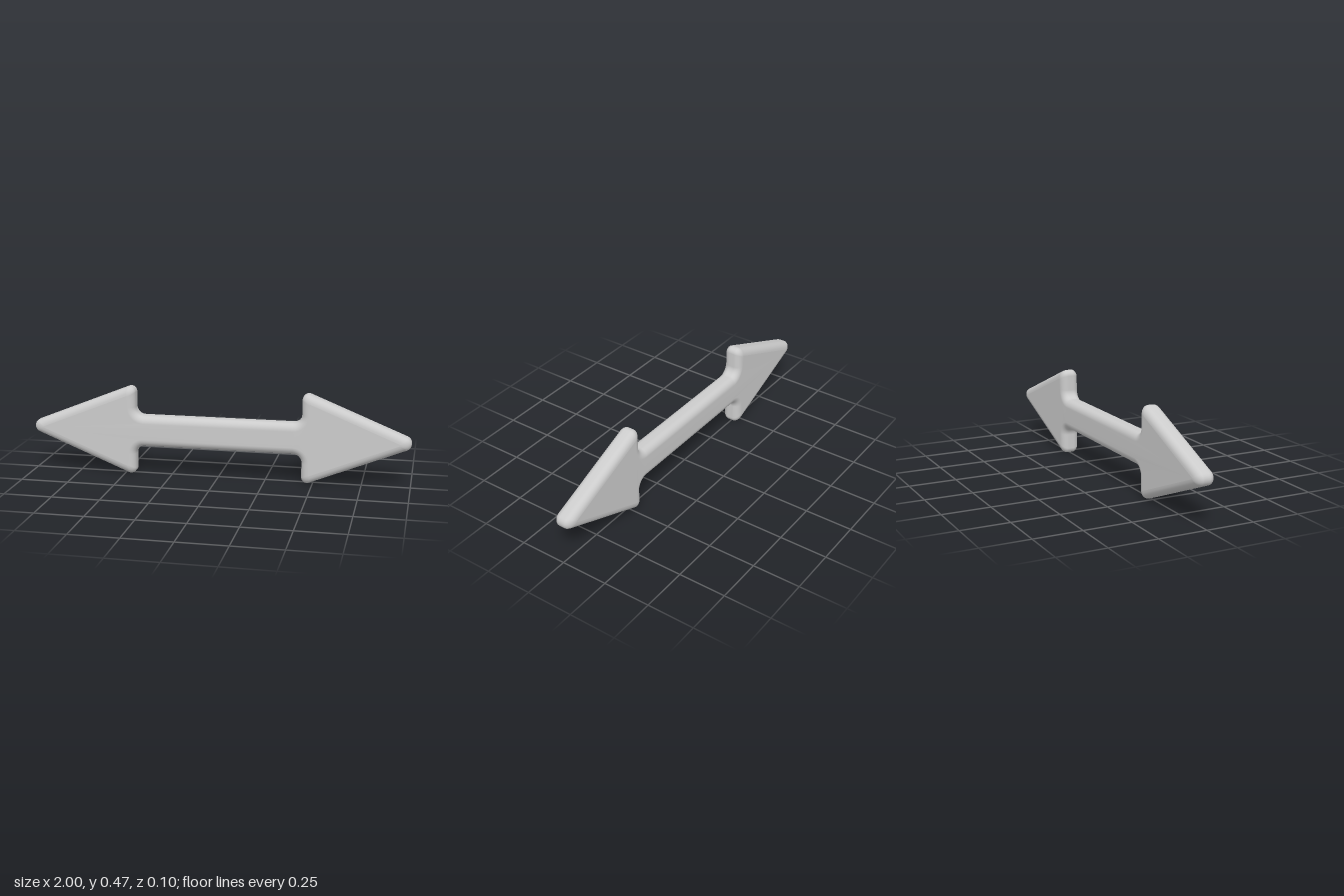
import * as THREE from 'three';

const BEVEL = 0.04, HALF_DEPTH = 0.05, HALF_WALL = 0.014, ARC = 8, ROUND = 6;

// Shift every edge of a counter-clockwise polygon inward by d
function inset(points, d) {
  return points.map((p, i) => {
    const a = p.clone().sub(points.at(i - 1)).normalize();
    const b = points[(i + 1) % points.length].clone().sub(p).normalize();
    const na = new THREE.Vector2(-a.y, a.x), nb = new THREE.Vector2(-b.y, b.x);
    const k = d / (1 + na.dot(nb));
    return p.clone().add(na.add(nb).multiplyScalar(k));
  });
}

// Replace each corner with an arc of the given radius
function fillet(points, radii) {
  return points.flatMap((p, i) => {
    const a = points.at(i - 1).clone().sub(p).normalize();
    const b = points[(i + 1) % points.length].clone().sub(p).normalize();
    const half = Math.acos(a.dot(b)) / 2, r = radii[i];
    const centre = a.clone().add(b).normalize().multiplyScalar(r / Math.sin(half)).add(p);
    const from = a.multiplyScalar(r / Math.tan(half)).add(p).sub(centre);
    const turn = Math.sign(from.cross(p.clone().sub(centre))) * (Math.PI - 2 * half);
    return Array.from({ length: ARC + 1 }, (_, j) =>
      from.clone().rotateAround(new THREE.Vector2(), turn * j / ARC).add(centre));
  });
}

// Solid with a rounded rim, skinned from the back face to the front face
function roundedPlate(outer, inner) {
  const n = outer.length, positions = [], index = [], profile = [];
  for (let j = 0; j <= ROUND; j++) {
    const t = j / ROUND * Math.PI / 2;
    profile.push([Math.sin(t), HALF_WALL + (HALF_DEPTH - HALF_WALL) * Math.cos(t)]);
  }
  const rings = [
    ...profile.map(([k, z]) => [k, -z]),
    ...profile.slice().reverse(),
  ];
  for (const [k, z] of rings) {
    for (let i = 0; i < n; i++) {
      const p = inner[i].clone().lerp(outer[i], k);
      positions.push(p.x, p.y, z);
    }
  }
  for (let r = 0; r < rings.length - 1; r++) {
    for (let i = 0; i < n; i++) {
      const a = r * n + i, b = r * n + (i + 1) % n;
      index.push(a, b, b + n, a, b + n, a + n);
    }
  }
  // Flat faces
  const last = (rings.length - 1) * n;
  for (const [a, b, c] of THREE.ShapeUtils.triangulateShape(inner, [])) {
    index.push(a, c, b, last + a, last + b, last + c);
  }
  const geometry = new THREE.BufferGeometry();
  geometry.setAttribute('position', new THREE.Float32BufferAttribute(positions, 3));
  geometry.setIndex(index);
  geometry.computeVertexNormals();
  return geometry;
}

export function createModel() {
  const group = new THREE.Group();
  group.name = 'doubleArrow';

  // Upper right quarter: tip, barb, notch (x, y, corner radius, concave)
  const tip = [1.057, 0, 0.035], barb = [0.44, 0.25, 0.03], notch = [0.44, 0.0825, 0.045, true];
  const flip = ([x, y, r, c], sx, sy) => [x * sx, y * sy, r, c];
  const corners = [
    tip, barb, notch,
    flip(notch, -1, 1), flip(barb, -1, 1), flip(tip, -1, 1),
    flip(barb, -1, -1), flip(notch, -1, -1),
    flip(notch, 1, -1), flip(barb, 1, -1),
  ];
  const outline = corners.map(([x, y]) => new THREE.Vector2(x, y));
  const outer = fillet(outline, corners.map(c => c[2]));
  const inner = fillet(inset(outline, BEVEL),
    corners.map(c => c[3] ? c[2] + BEVEL : 0.004));

  const arrow = new THREE.Mesh(
    roundedPlate(outer, inner),
    new THREE.MeshStandardMaterial({ color: 0xcccccc }),
  );
  arrow.name = 'arrowBody';
  arrow.position.y = 0.235;
  group.add(arrow);
  return group;
}
